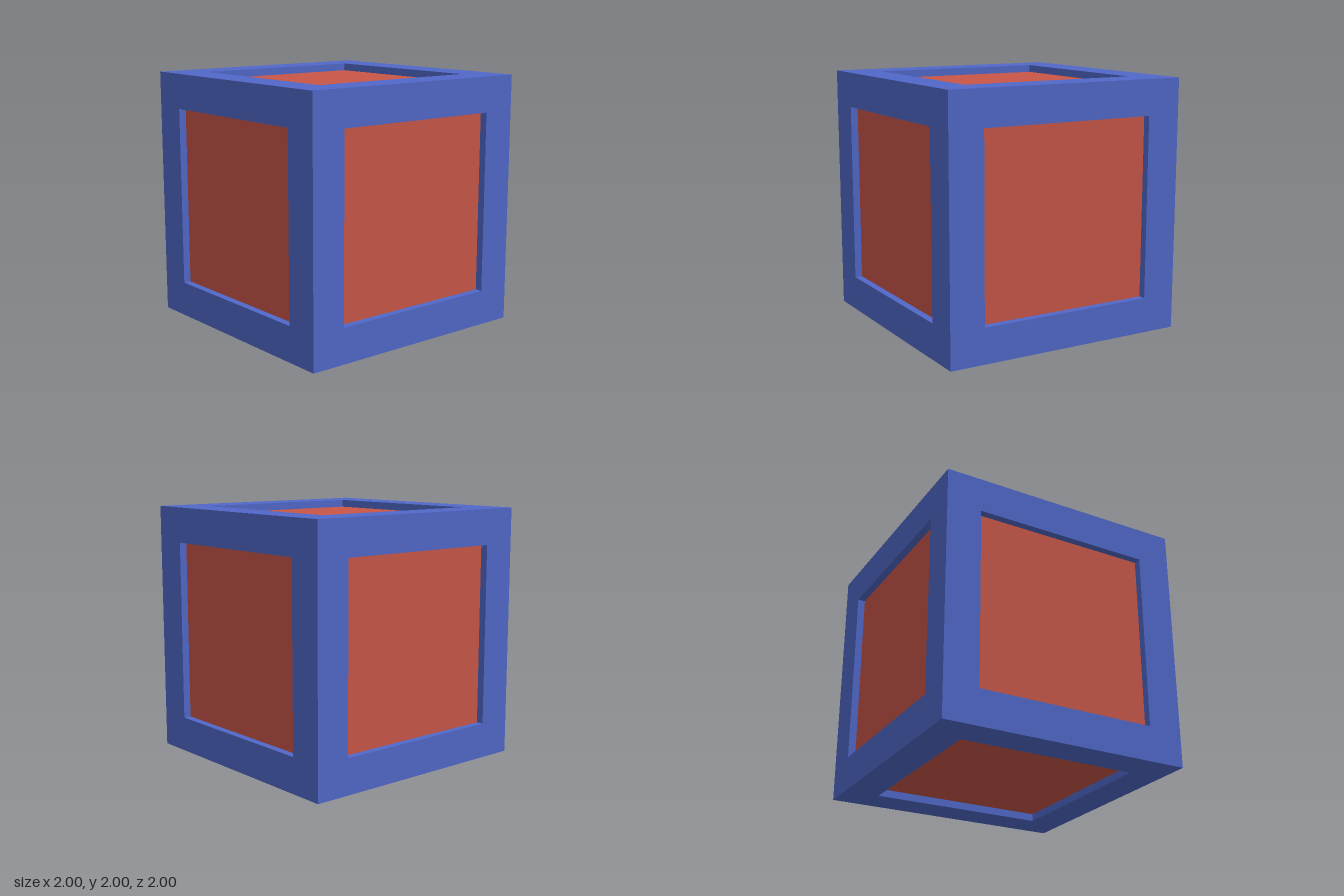
import * as THREE from 'three';
import { mergeGeometries } from 'three/addons/utils/BufferGeometryUtils.js';

const HALF = 1;        // half the cube's side
const OPENING = 0.72;  // half the side of each square opening
const DEPTH = 0.06;    // how far the panels sit back

// Closed square outline of half-size h
function square(h, Path) {
  return new Path([[-h, -h], [h, -h], [h, h], [-h, h]].map(([x, y]) => new THREE.Vector2(x, y)));
}

// One side of the frame, facing +z: a flat border and four walls of the recess
function frameSide() {
  const border = square(HALF, THREE.Shape);
  border.holes.push(square(OPENING, THREE.Path));
  const parts = [new THREE.ShapeGeometry(border).translate(0, 0, HALF)];
  for (let i = 0; i < 4; i++) {
    parts.push(new THREE.PlaneGeometry(2 * OPENING, DEPTH)
      .rotateX(-Math.PI / 2)
      .translate(0, -OPENING, HALF - DEPTH / 2)
      .rotateZ(i * Math.PI / 2));
  }
  return mergeGeometries(parts);
}

export function createModel() {
  const group = new THREE.Group();
  group.name = 'framedCube';
  const blue = new THREE.MeshStandardMaterial({ color: 0x5068c8 });
  const red = new THREE.MeshStandardMaterial({ color: 0xc85648 });

  // Frame: the same side turned to all six directions
  const sides = [];
  for (let i = 0; i < 4; i++) sides.push(frameSide().rotateY(i * Math.PI / 2));
  for (const s of [-1, 1]) sides.push(frameSide().rotateX(s * Math.PI / 2));
  const frame = new THREE.Mesh(mergeGeometries(sides), blue);
  frame.name = 'frame';

  // Core: its faces are the recessed panels
  const size = 2 * (HALF - DEPTH);
  const core = new THREE.Mesh(new THREE.BoxGeometry(size, size, size), red);
  core.name = 'panelCore';

  for (const mesh of [frame, core]) {
    mesh.position.y = HALF;
    group.add(mesh);
  }
  return group;
}
